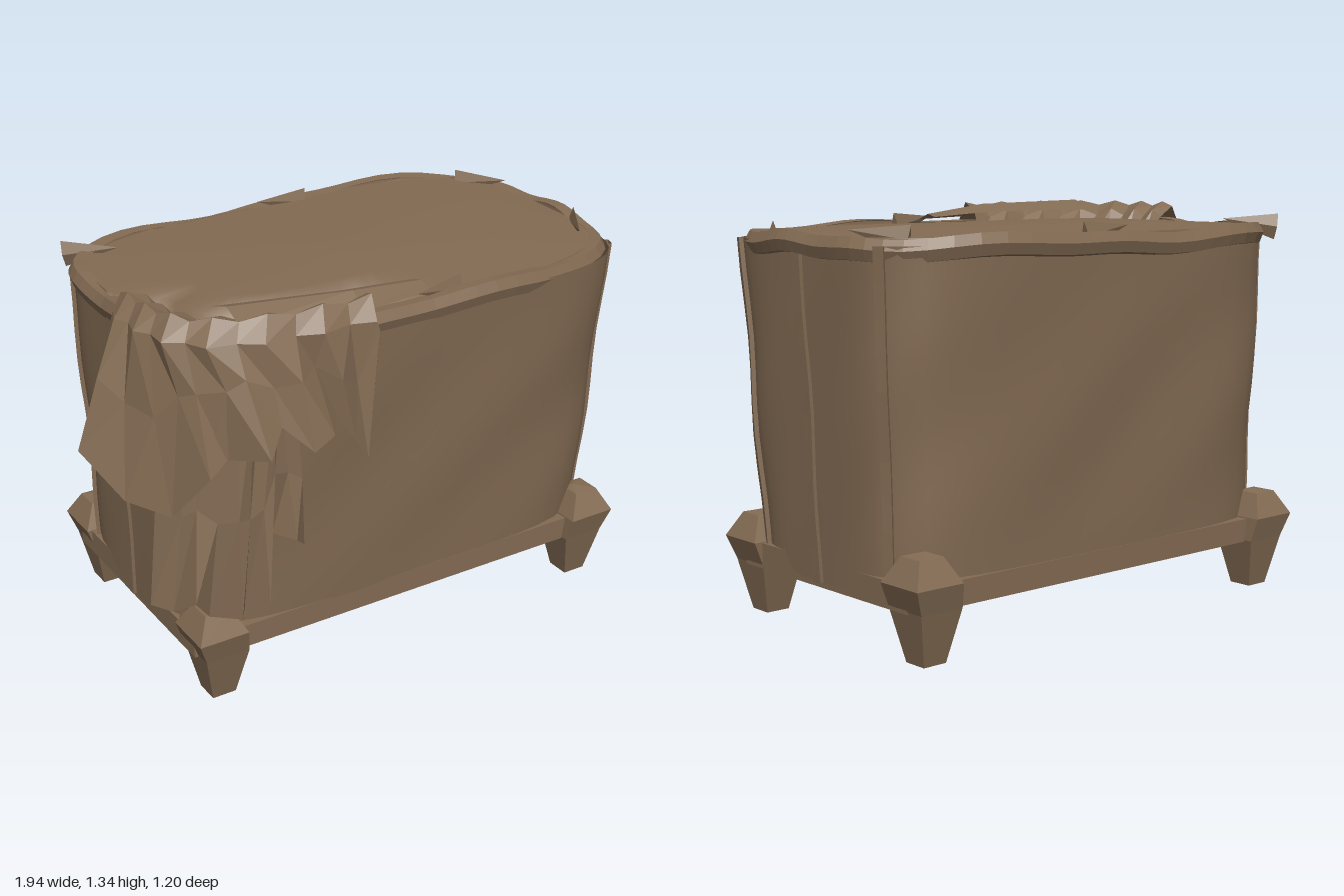
import * as THREE from 'three';

const V = (x, y, z) => new THREE.Vector3(x, y, z);
const CX = 0.055, CZ = -0.05, N = 72;

// Rows of points joined into a surface; flat or smooth normals
function loft(rows, closed = true, flat = true) {
  const n = rows[0].length, pos = [], idx = [];
  rows.forEach(r => r.forEach(p => pos.push(p.x, p.y, p.z)));
  for (let r = 0; r < rows.length - 1; r++) {
    for (let i = 0; i < (closed ? n : n - 1); i++) {
      const j = (i + 1) % n, a = r * n + i, b = r * n + j;
      idx.push(a, a + n, b, b, a + n, b + n);
    }
  }
  let g = new THREE.BufferGeometry();
  g.setAttribute('position', new THREE.Float32BufferAttribute(pos, 3));
  g.setIndex(idx);
  if (flat) g = g.toNonIndexed();
  g.computeVertexNormals();
  return g;
}

// Rounded-rectangle outline of the tub at angle a
function oval(a, rx, rz, y, e = 4, cx = CX, cz = CZ) {
  const c = Math.cos(a), s = Math.sin(a);
  const k = Math.pow(Math.pow(Math.abs(c), e) + Math.pow(Math.abs(s), e), -1 / e);
  return V(cx + rx * c * k, y, cz + rz * s * k);
}
const angles = Array.from({ length: N }, (_, i) => (i / N) * Math.PI * 2);
const ring = fn => angles.map(fn);

// Tub wall at angle a and height t (0 bottom, 1 top)
function wall(a, t, out = 0) {
  const bump = 0.006 * Math.sin(a * 7 + t * 9) * Math.sin(t * Math.PI);
  const rx = 0.815 + 0.038 * t + bump + out, rz = 0.46 + 0.063 * t + bump + out;
  return oval(a, rx, rz, 0.18 + 1.06 * t, 5, 0.045 + 0.01 * t, -0.055 + 0.02 * t);
}

export function createModel() {
  const model = new THREE.Group();
  const brown = new THREE.MeshStandardMaterial({ color: 0x836b53, side: THREE.DoubleSide });
  brown.name = 'brown';
  const add = (name, geo, parent = model) => {
    const m = new THREE.Mesh(geo, brown);
    m.name = name;
    parent.add(m);
    return m;
  };

  // Tub body
  const levels = Array.from({ length: 11 }, (_, i) => i / 10);
  add('tubBody', loft(levels.map(t => ring(a => wall(a, t))), true, false));

  // Vertical bands at both ends and the four corners
  const bands = new THREE.Group();
  bands.name = 'verticalBands';
  model.add(bands);
  const band = (mid, half) => {
    const out = [0, 0.012, 0.012, 0], da = [-half, -half, half, half];
    add('band', loft(levels.map(t => out.map((o, k) => wall(mid + da[k], t, o))), false), bands);
  };
  [0.02, Math.PI + 0.02].forEach(a => band(a, 0.04));
  [0.62, -0.62, Math.PI - 0.62, Math.PI + 0.62].forEach(a => band(a, 0.025));

  // Uneven rim
  const wob = a => 0.008 * Math.sin(a * 5 + 1) + 0.005 * Math.sin(a * 11);
  const rimSection = [[-0.05, 1.19], [-0.005, 1.2], [0.006, 1.235], [-0.01, 1.268], [-0.05, 1.265]];
  add('rim', loft(rimSection.map(([o, y]) =>
    ring(a => oval(a, 0.87 + o + wob(a) * 0.6, 0.54 + o + wob(a) * 0.6, y + wob(a))))));

  // Filled top, with a trough along the front right corner
  const trough = a => {
    const t = (a - 1.5) / 1.75;
    return t > 0 && t < 1 ? Math.min(1, Math.sin(t * Math.PI) * 1.6) : 0;
  };
  const top = (inset, y) => ring(a => oval(a, 0.83 - inset(a), 0.5 - inset(a), y(a)));
  add('topSurface', loft([
    top(() => 0, a => 1.262 + wob(a)),
    top(a => 0.015 * trough(a), a => 1.262 - 0.14 * trough(a)),
    top(a => 0.10 * trough(a) + 0.002, a => 1.262 - 0.14 * trough(a)),
    top(a => 0.13 * trough(a) + 0.004, () => 1.262),
    top(() => 0.25, () => 1.274),
    ring(() => V(CX, 1.278, CZ)),
  ], true, false));

  // Small ragged flakes on the rim
  const flakes = new THREE.Group();
  flakes.name = 'rimFlakes';
  model.add(flakes);
  [[0.1, -0.54, 0], [0.1, 0.44, 0.2], [0.84, 0.21, 1], [0.84, -0.34, 2.2], [-0.68, -0.45, 2.5]].forEach(([x, z, r]) => {
    const m = add('flake', new THREE.ConeGeometry(0.045, 0.19, 4).toNonIndexed(), flakes);
    m.geometry.computeVertexNormals();
    m.scale.z = 0.35;
    m.rotation.set(0, r, Math.PI / 2 - 0.15);
    m.position.set(x, 1.27, z);
  });

  // Base frame and underside
  const base = new THREE.Group();
  base.name = 'base';
  model.add(base);
  const box = (name, w, h, d, x, y, z) =>
    add(name, new THREE.BoxGeometry(w, h, d), base).position.set(x, y, z);
  box('underside', 1.58, 0.05, 0.88, 0.045, 0.195, -0.055);
  [0.385, -0.495].forEach(z => box('longRail', 1.56, 0.08, 0.05, 0.045, 0.205, z));
  [-0.74, 0.83].forEach(x => box('endRail', 0.06, 0.085, 0.86, x, 0.205, -0.055));

  // Tapered legs with pointed corner caps
  const square = (x, z, h, y) => [[1, 1], [-1, 1], [-1, -1], [1, -1]].map(([i, k]) => V(x + i * h, y, z + k * h));
  for (const sx of [-1, 1]) for (const sz of [-1, 1]) {
    const x = 0.05 + sx * 0.73, z = -0.058 + sz * 0.415;
    const section = [[0, 0, 0], [0, 0.042, 0], [0, 0.078, 0.17], [0.02, 0.088, 0.25], [0.02, 0.045, 0.33], [0, 0, 0.34]];
    add('leg', loft(section.map(([o, h, y]) => square(x + sx * o, z + sz * o * 0.5, h, y))), base);
  }

  // Draped cloth over the front right corner
  const cloth = new THREE.Group();
  cloth.name = 'drapedCloth';
  model.add(cloth);
  const hem = [
    [-0.88, 1.0, 0.04], [-1.0, 0.85, 0.09], [-0.92, 0.72, 0.24], [-0.82, 0.69, 0.36], [-0.75, 0.86, 0.49],
    [-0.68, 0.9, 0.47], [-0.6, 0.93, 0.6], [-0.53, 1.0, 0.54], [-0.45, 0.92, 0.6], [-0.38, 0.96, 0.6],
    [-0.33, 0.98, 0.53], [-0.28, 0.9, 0.56], [-0.22, 0.81, 0.54], [-0.17, 1.15, 0.51],
  ].map(p => V(...p));
  const edge = (i, o, y) => oval(3.0 - 1.17 * (i / 13), 0.87 + o, 0.54 + o, y);
  const pleat = i => (i % 2 ? 0.012 : -0.012);
  const over = hem.map((_, i) => edge(i, 0.025 + pleat(i), 1.26));
  add('upperDrape', loft([
    hem.map((_, i) => edge(i, -0.16 + pleat(i), 1.2)),
    hem.map((_, i) => edge(i, -0.09, 1.29 + pleat(i))),
    hem.map((_, i) => edge(i, -0.02, 1.322 + pleat(i) * 0.7)),
    over,
    hem.map((h, i) => over[i].clone().lerp(h, 0.5).add(V(0, 0.03, pleat(i)))),
    hem,
  ], false), cloth);

  // Long lower folds
  const low = [
    [-0.88, 0.36, 0.3], [-0.83, 0.35, 0.36], [-0.8, 0.42, 0.46], [-0.74, 0.34, 0.43], [-0.68, 0.37, 0.54],
    [-0.63, 0.35, 0.46], [-0.58, 0.4, 0.54], [-0.53, 0.6, 0.47], [-0.47, 0.58, 0.52], [-0.42, 0.53, 0.48],
  ].map(p => V(...p));
  const lowTop = low.map((_, i) => V(-0.79 + i * 0.036, 1.1, 0.3 + 0.2 * Math.min(1, i / 4) + pleat(i)));
  add('lowerDrape', loft([
    lowTop,
    low.map((h, i) => lowTop[i].clone().lerp(h, 0.55).add(V(0, 0, pleat(i)))),
    low,
  ], false), cloth);

  // Bunched fold lying along the front rim
  add('rimFold', loft([
    [V(-0.6, 1.3, 0.24), V(-0.2, 1.3, 0.34), V(0.07, 1.285, 0.35)],
    [V(-0.6, 1.335, 0.34), V(-0.2, 1.325, 0.41), V(0.07, 1.295, 0.39)],
    [V(-0.6, 1.3, 0.42), V(-0.2, 1.28, 0.48), V(0.07, 1.275, 0.44)],
  ], false), cloth);

  return model;
}
